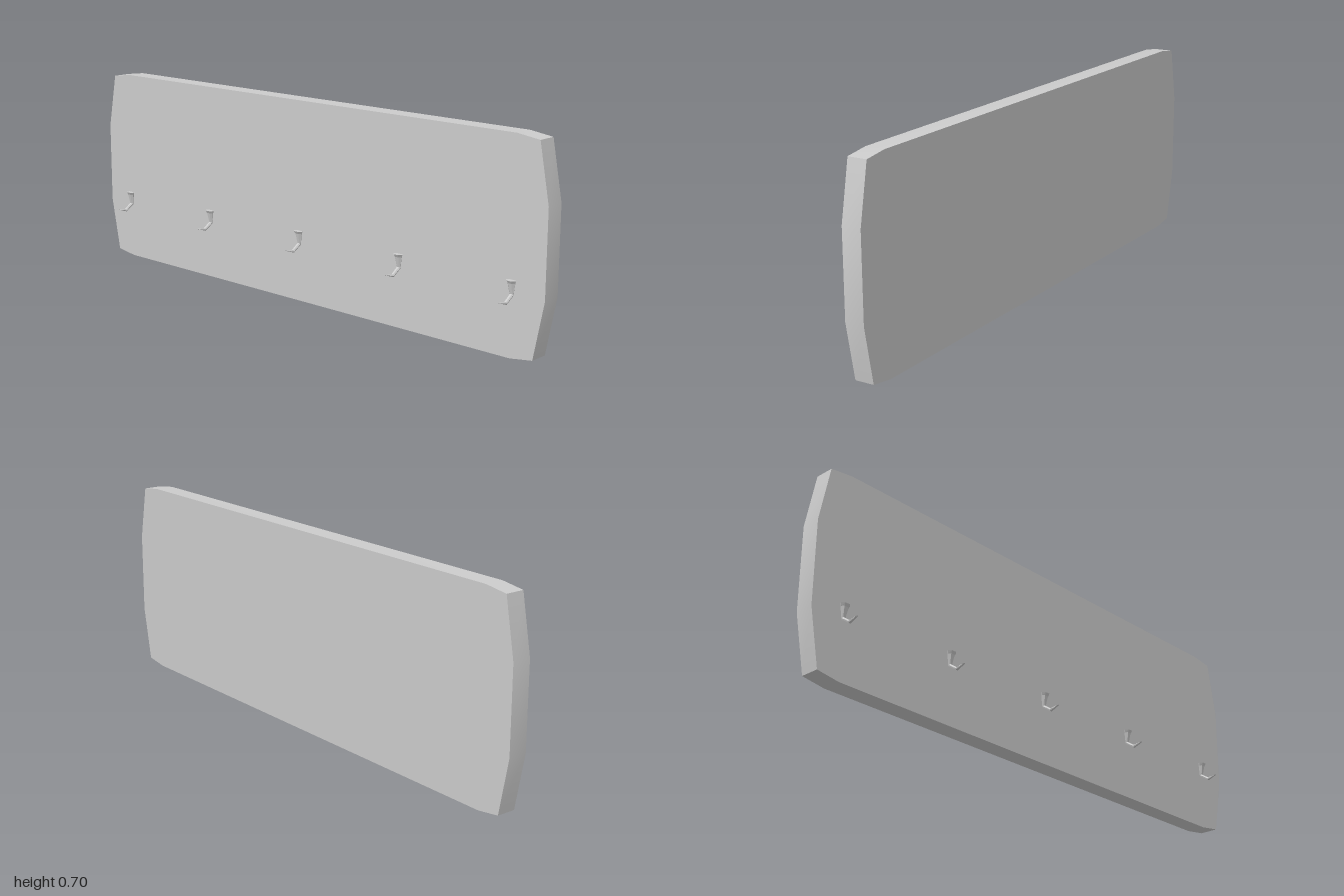
import * as THREE from 'three';
import { toCreasedNormals } from 'three/addons/utils/BufferGeometryUtils.js';

const grey = new THREE.MeshStandardMaterial({ color: 0xcccccc });
const greyFlat = new THREE.MeshStandardMaterial({ color: 0xcccccc, flatShading: true });

// Slab with gently bowed edges, extruded through its thickness
function createBoard() {
  const half = [[0.88, 0], [0.963, 0.012], [1, 0.205], [1, 0.495], [0.963, 0.689], [0.88, 0.7]];
  const outline = [...half, ...half.map(([z, y]) => [-z, y]).reverse()];
  const shape = new THREE.Shape(outline.map(([z, y]) => new THREE.Vector2(z, y)));
  const geo = new THREE.ExtrudeGeometry(shape, { depth: 0.067, bevelEnabled: false });
  geo.rotateY(Math.PI / 2);
  const mesh = new THREE.Mesh(toCreasedNormals(geo, 0.5), grey);
  mesh.name = 'board';
  return mesh;
}

// Hook lofted through six-sided sections: inner x, y, outer x, y, half width
function createHookGeometry() {
  const sections = [
    [0.001, 0.25, -0.019, 0.25, 0.018],
    [0.001, 0.24, -0.014, 0.241, 0.014],
    [0.001, 0.201, -0.007, 0.207, 0.007],
    [-0.033, 0.179, -0.035, 0.188, 0.006],
    [-0.0665, 0.1905, -0.068, 0.192, 0.003],
  ];
  const ring = [[0, -0.7], [0, 0.7], [0.5, 1], [1, 0.5], [1, -0.5], [0.5, -1]];
  const n = ring.length;
  const positions = [];
  const index = [];
  for (const [ix, iy, ox, oy, w] of sections) {
    for (const [u, v] of ring) positions.push(ix + (ox - ix) * u, iy + (oy - iy) * u, v * w);
  }
  for (let s = 0; s < sections.length - 1; s++) {
    for (let k = 0; k < n; k++) {
      const a = s * n + k;
      const b = s * n + ((k + 1) % n);
      index.push(a, b, b + n, a, b + n, a + n);
    }
  }
  // End caps
  const last = (sections.length - 1) * n;
  for (let k = 1; k < n - 1; k++) {
    index.push(0, k + 1, k, last, last + k, last + k + 1);
  }
  const geo = new THREE.BufferGeometry();
  geo.setAttribute('position', new THREE.Float32BufferAttribute(positions, 3));
  geo.setIndex(index);
  const flat = geo.toNonIndexed();
  flat.computeVertexNormals();
  return flat;
}

export function createModel() {
  const model = new THREE.Group();
  model.name = 'hookBoard';
  model.add(createBoard());

  // Row of five evenly spaced hooks
  const hookGeometry = createHookGeometry();
  for (let i = -2; i <= 2; i++) {
    const hook = new THREE.Mesh(hookGeometry, greyFlat);
    hook.name = 'hook';
    hook.position.z = i * 0.441;
    model.add(hook);
  }
  return model;
}
